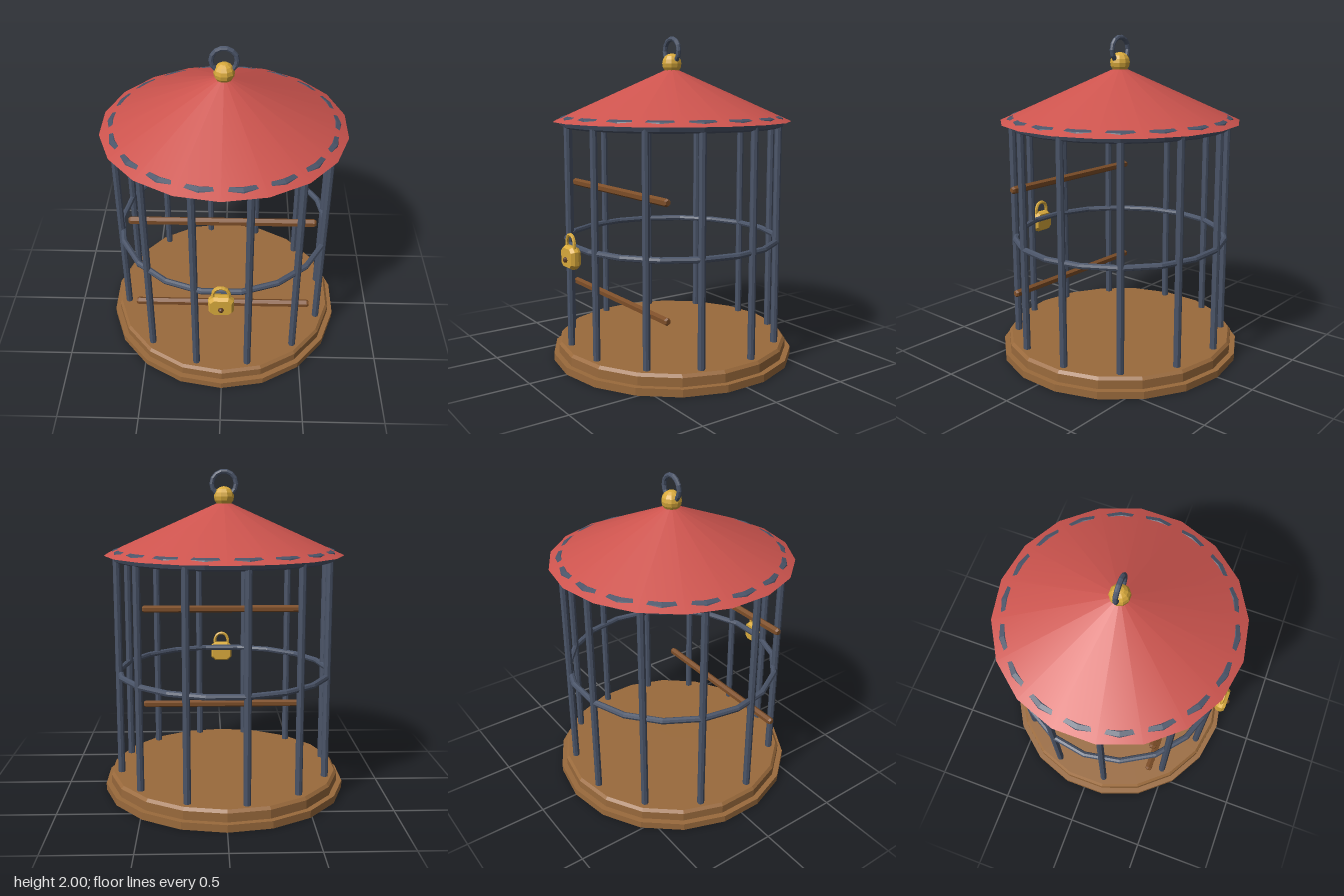
import * as THREE from 'three';

const mat = (color, flatShading = true) => new THREE.MeshStandardMaterial({ color, flatShading });

export function createModel() {
  const model = new THREE.Group();
  const wood = mat(0x9a6a3c), darkWood = mat(0x7d4e28), iron = mat(0x4a5468);
  const red = mat(0xcd544e, false), gold = mat(0xd9aa3c), dark = mat(0x5c3a22);
  const SIDES = 18, CAGE_R = 0.663;

  function add(parent, name, geometry, material, x = 0, y = 0, z = 0) {
    const mesh = new THREE.Mesh(geometry, material);
    mesh.name = name;
    mesh.position.set(x, y, z);
    parent.add(mesh);
    return mesh;
  }
  const lathe = (points, sides) =>
    new THREE.LatheGeometry(points.map(([r, y]) => new THREE.Vector2(r, y)), sides);

  // Two-step wooden floor with a bevelled upper edge
  add(model, 'base', lathe([
    [0, 0], [0.762, 0], [0.762, 0.045], [0.728, 0.045], [0.728, 0.098], [0.712, 0.115], [0, 0.115],
  ], SIDES), wood);

  // Upright bars: evenly spaced round the back, symmetrical at the front
  const bars = new THREE.Group();
  bars.name = 'bars';
  model.add(bars);
  const barGeometry = new THREE.CylinderGeometry(0.022, 0.022, 1.38, 8);
  for (const degrees of [-43, -14, 14, 43, 70, 100, 130, 160, 190, 220, 250, 280]) {
    const a = THREE.MathUtils.degToRad(degrees);
    add(bars, 'bar', barGeometry, iron, CAGE_R * Math.sin(a), 0.795, CAGE_R * Math.cos(a));
  }

  // Hoops round the cage
  for (const [name, y, tube] of [['middleHoop', 0.752, 0.019], ['topHoop', 1.485, 0.036]]) {
    add(model, name, new THREE.TorusGeometry(CAGE_R, tube, 8, SIDES).rotateX(Math.PI / 2), iron, 0, y, 0);
  }

  // Conical roof with its underside
  add(model, 'roof', new THREE.ConeGeometry(0.737, 0.328, SIDES), red, 0, 1.651, 0);

  // Finial ball and hanging ring
  add(model, 'finial', new THREE.SphereGeometry(0.062, 10, 8), gold, 0, 1.836, 0);
  add(model, 'hangingRing', new THREE.TorusGeometry(0.074, 0.015, 8, 14), iron, 0, 1.912, 0);

  // Perches with chamfered ends
  const perchGeometry = lathe([
    [0, -0.548], [0.016, -0.548], [0.024, -0.535], [0.024, 0.535], [0.016, 0.548], [0, 0.548],
  ], 6).rotateY(Math.PI / 2).rotateZ(Math.PI / 2);
  for (const y of [0.405, 1.075]) add(model, 'perch', perchGeometry, darkWood, 0, y, 0.402);

  // Padlock on the front of the middle hoop
  const lock = new THREE.Group();
  lock.name = 'padlock';
  lock.position.set(0, 0.712, 0.717);
  model.add(lock);
  const outline = new THREE.Shape([
    [-0.04, -0.055], [0.04, -0.055], [0.062, -0.035], [0.062, 0.035],
    [0.04, 0.055], [-0.04, 0.055], [-0.062, 0.035], [-0.062, -0.035],
  ].map(([x, y]) => new THREE.Vector2(x, y)));
  add(lock, 'lockBody', new THREE.ExtrudeGeometry(outline, {
    depth: 0.024, bevelEnabled: true, bevelThickness: 0.02, bevelSize: 0.012, bevelSegments: 1,
  }).translate(0, 0, -0.012), gold);
  const shackle = new THREE.CatmullRomCurve3([
    [-0.045, 0.05], [-0.046, 0.09], [-0.03, 0.122], [0, 0.133], [0.03, 0.122], [0.046, 0.09], [0.045, 0.05],
  ].map(([x, y]) => new THREE.Vector3(x, y, 0)));
  add(lock, 'shackle', new THREE.TubeGeometry(shackle, 12, 0.011, 6), gold);
  add(lock, 'keyhole', new THREE.SphereGeometry(0.017, 8, 6), dark, 0, -0.012, 0.034);

  return model;
}
